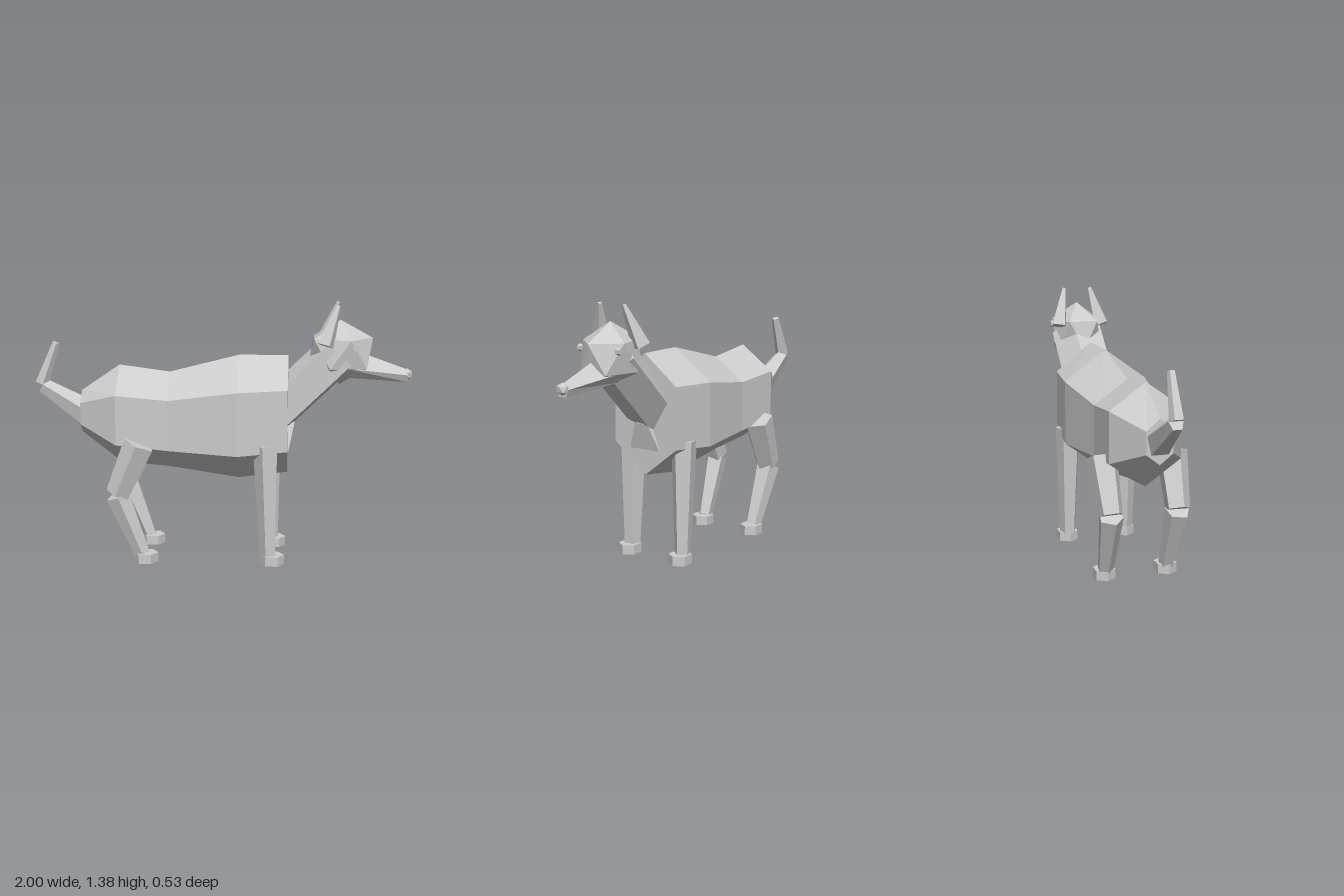
import * as THREE from 'three';

const hide = new THREE.MeshStandardMaterial({ color: 0xcccccc, flatShading: true });
hide.name = 'pale grey';

const V = (x, y, z) => new THREE.Vector3(x, y, z);

function part(name, geometry, parent) {
  const mesh = new THREE.Mesh(geometry, hide);
  mesh.name = name;
  parent.add(mesh);
  return mesh;
}

// Skin closed rings of points, ordered top, +z, bottom, -z, running towards +x
function loft(rings) {
  const pos = [];
  const tri = (...p) => p.forEach((v) => pos.push(v.x, v.y, v.z));
  const n = rings[0].length;
  for (let i = 0; i < rings.length - 1; i++) {
    for (let j = 0; j < n; j++) {
      const k = (j + 1) % n;
      const a = rings[i][j], b = rings[i][k], c = rings[i + 1][k], d = rings[i + 1][j];
      tri(a, b, c);
      tri(a, c, d);
    }
  }
  const first = rings[0], last = rings[rings.length - 1];
  for (let j = 1; j < n - 1; j++) {
    tri(first[0], first[j + 1], first[j]);
    tri(last[0], last[j], last[j + 1]);
  }
  const g = new THREE.BufferGeometry();
  g.setAttribute('position', new THREE.Float32BufferAttribute(pos, 3));
  g.computeVertexNormals();
  return g;
}

// Tapered low-poly rod from point a to point b
function rod(name, a, b, ra, rb, parent, sides = 5, spin = 0) {
  const dir = b.clone().sub(a);
  const g = new THREE.CylinderGeometry(rb, ra, dir.length(), sides);
  g.rotateY(spin);
  const mesh = part(name, g, parent);
  mesh.position.copy(a).add(b).multiplyScalar(0.5);
  mesh.quaternion.setFromUnitVectors(V(0, 1, 0), dir.normalize());
  return mesh;
}

// Icosahedron standing on a corner, with an upper corner pointing to +x
function ico(rx, ry, rz) {
  const g = new THREE.IcosahedronGeometry(1, 0);
  g.rotateZ(-Math.atan(2 / (1 + Math.sqrt(5))));
  g.scale(rx, ry, rz);
  return g;
}

export function createModel() {
  const animal = new THREE.Group();
  animal.name = 'animal';

  // Body: x, ridge, upper corner, lower corner, belly, half width
  const body = [
    [-0.755, 0.9, 0.84, 0.725, 0.67, 0.07],
    [-0.55, 1.04, 0.905, 0.64, 0.51, 0.19],
    [-0.28, 1.005, 0.88, 0.612, 0.485, 0.18],
    [0.09, 1.1, 0.935, 0.597, 0.43, 0.225],
    [0.35, 1.1, 0.945, 0.62, 0.465, 0.197],
  ].map(([x, t, u, l, b, w]) => [
    V(x, t, 0), V(x, u, w), V(x, l, w), V(x, b, 0), V(x, l, -w), V(x, u, -w),
  ]);
  part('body', loft(body), animal);

  // Neck: five-sided, with one flat side towards +z
  const neckRing = (cx, cy) =>
    [[0.115, -0.045], [0.078, 0.118], [-0.078, 0.118], [-0.115, -0.045], [0, -0.142]]
      .map(([u, z]) => V(cx - 0.7 * u, cy + 0.7 * u, z));
  part('neck', loft([neckRing(0.22, 0.73), neckRing(0.62, 1.12)]), animal);

  // Small wedge on the chest below the neck
  const wedge = (x0, x1) => [
    V(x1, 0.74, -0.04), V(x1, 0.74, 0.04), V(x0, 0.6, 0.095), V(x0, 0.6, -0.095),
  ];
  part('chest', loft([wedge(0.32, 0.32), wedge(0.355, 0.385)]), animal);

  // Head, muzzle and nose
  part('head', ico(0.19, 0.17, 0.153), animal).position.set(0.62, 1.12, 0);
  const muzzleRing = (x, top, side, low, w, wl) => [
    V(x, top, 0), V(x, side, w), V(x, low, wl), V(x, low, -wl), V(x, side, -w),
  ];
  part('muzzle', loft([
    muzzleRing(0.64, 1.15, 1.05, 0.995, 0.105, 0.06),
    muzzleRing(0.975, 1.03, 1.005, 0.967, 0.037, 0.022),
  ]), animal);
  part('nose', ico(0.03, 0.032, 0.04), animal).position.set(0.972, 1.005, 0);

  // Tail in two bent segments
  rod('tailBase', V(-0.72, 0.77, 0), V(-0.965, 0.922, 0), 0.075, 0.04, animal, 5, Math.PI / 10);
  rod('tailTip', V(-0.972, 0.935, 0), V(-0.89, 1.155, 0), 0.038, 0.02, animal, 5, Math.PI / 10);

  // Paired parts
  for (const s of [1, -1]) {
    const eye = part('eye', new THREE.CylinderGeometry(0.018, 0.018, 0.025, 6), animal);
    eye.rotation.x = Math.PI / 2;
    eye.position.set(0.7, 1.16, 0.12 * s);

    rod('ear', V(0.54, 1.17, 0.125 * s), V(0.608, 1.373, 0.075 * s), 0.05, 0.012, animal, 4, 0.4);

    const frontLeg = new THREE.Group();
    frontLeg.name = 'frontLeg';
    rod('frontLegShaft', V(0.24, 0.65, 0.165 * s), V(0.255, 0.045, 0.167 * s), 0.07, 0.044, frontLeg);

    const hindLeg = new THREE.Group();
    hindLeg.name = 'hindLeg';
    rod('thigh', V(-0.425, 0.65, 0.185 * s), V(-0.543, 0.375, 0.178 * s), 0.085, 0.066, hindLeg);
    rod('shank', V(-0.545, 0.365, 0.178 * s), V(-0.42, 0.045, 0.167 * s), 0.066, 0.042, hindLeg);

    // Six-sided feet
    for (const [x, leg] of [[0.275, frontLeg], [-0.4, hindLeg]]) {
      const g = new THREE.CylinderGeometry(0.066, 0.066, 0.05, 6);
      g.rotateY(Math.PI / 2);
      g.scale(1, 1, 0.9);
      part('foot', g, leg).position.set(x, 0.025, 0.167 * s);
      animal.add(leg);
    }
  }
  return animal;
}
